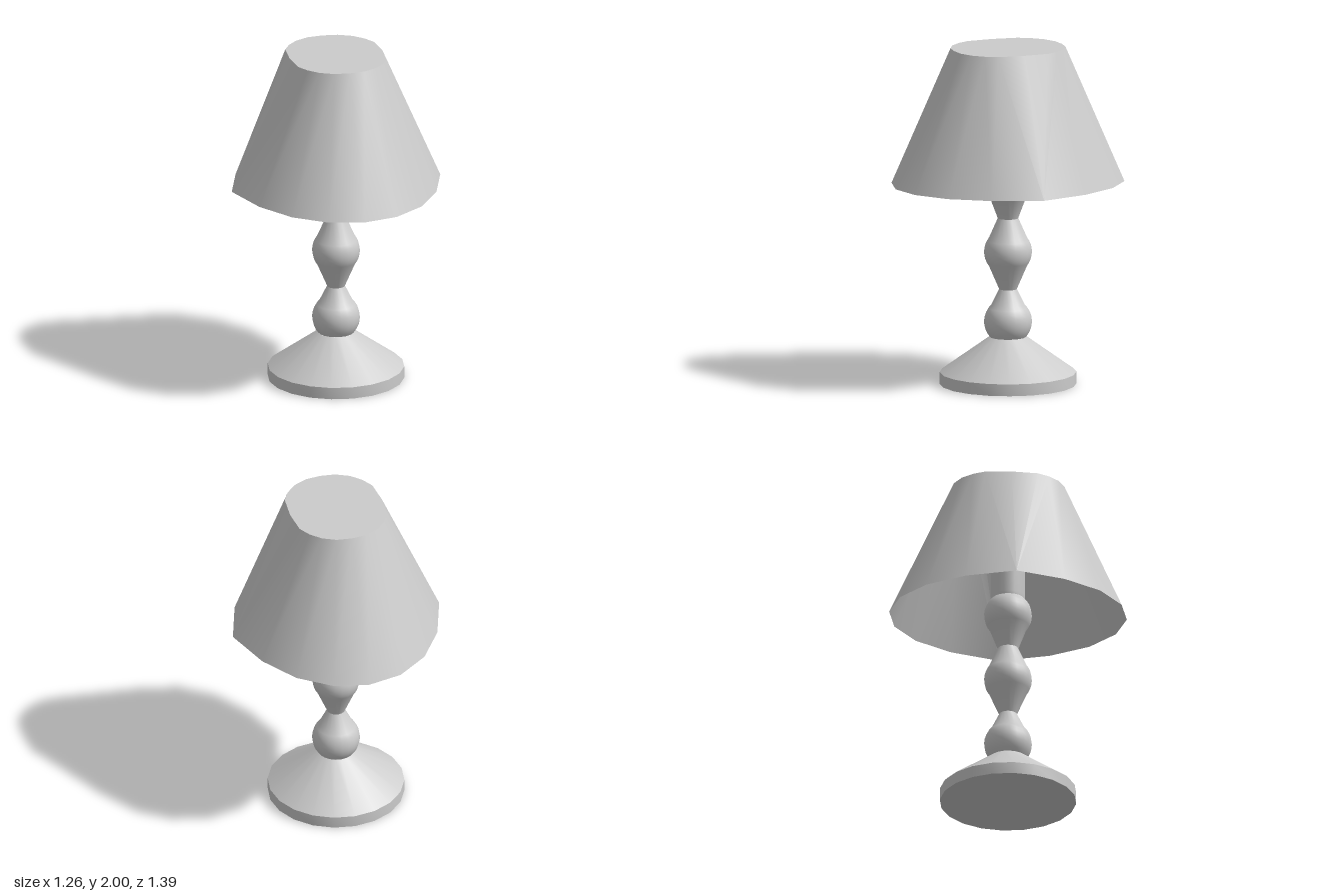
import * as THREE from 'three';
import { toCreasedNormals } from 'three/addons/utils/BufferGeometryUtils.js';

const material = new THREE.MeshStandardMaterial({ color: 0xcccccc });
const thin = new THREE.MeshStandardMaterial({ color: 0xcccccc, side: THREE.DoubleSide });

function turned(name, profile) {
  const points = profile.map(([r, y]) => new THREE.Vector2(r, y));
  const mesh = new THREE.Mesh(toCreasedNormals(new THREE.LatheGeometry(points, 20), 0.38), material);
  mesh.name = name;
  return mesh;
}

// profile of a ball, cut off below and above its centre
function ballArc(y, below, above, radius = 0.14, steps = 8) {
  const a = Math.asin(-below / radius), b = Math.asin(above / radius);
  return Array.from({ length: steps + 1 }, (_, i) => {
    const t = a + (b - a) * i / steps;
    return [radius * Math.cos(t), y + radius * Math.sin(t)];
  });
}

// mirror a quarter outline [x, z], running from front to side, into a full loop
function fullLoop(quarter) {
  const half = [...quarter, ...quarter.slice(0, -1).reverse().map(([x, z]) => [x, -z])];
  return [...half, ...half.slice(1, -1).reverse().map(([x, z]) => [-x, z])];
}

function surface(name, triangles, crease) {
  const geometry = new THREE.BufferGeometry();
  geometry.setAttribute('position', new THREE.Float32BufferAttribute(triangles.flat(), 3));
  geometry.computeVertexNormals();
  const mesh = new THREE.Mesh(toCreasedNormals(geometry, crease), thin);
  mesh.name = name;
  return mesh;
}

function createShade() {
  const shade = new THREE.Group();
  shade.name = 'shade';
  // the last two top corners share one bottom corner at the side
  const bottom = fullLoop([[0, 0.697], [0.205, 0.65], [0.39, 0.51], [0.533, 0.29], [0.628, 0], [0.628, 0]])
    .map(([x, z]) => [x, 1.2, z]);
  const top = fullLoop([[0, 0.335], [0.09, 0.325], [0.17, 0.285], [0.228, 0.225], [0.267, 0.155], [0.28, 0]])
    .map(([x, z]) => [x, 2, z]);
  const wall = [], cap = [];
  top.forEach((t, i) => {
    const j = (i + 1) % top.length;
    const b = bottom[i], b2 = bottom[j], t2 = top[j];
    if (b[0] !== b2[0] || b[2] !== b2[2]) wall.push(...b, ...b2, ...t2);
    wall.push(...b, ...t2, ...t);
    cap.push(0, 2, 0, ...t, ...t2);
  });
  shade.add(surface('shadeWall', wall, 0.5), surface('shadeTop', cap, 0.5));
  return shade;
}

export function createModel() {
  const lamp = new THREE.Group();
  lamp.name = 'tableLamp';

  // round foot with a sloping top
  lamp.add(turned('base', [[0, 0], [0.4, 0], [0.4, 0.07], [0.108, 0.28]]));

  // turned column: three balls joined by waisted necks, then a plain post
  lamp.add(turned('column', [
    ...ballArc(0.37, 0.09, 0.1),
    [0.052, 0.563],
    ...ballArc(0.785, 0.085, 0.085),
    [0.06, 0.985],
    ...ballArc(1.2, 0.09, 0.1),
    [0.1, 1.32],
    [0.1, 1.995],
  ]));

  lamp.add(createShade());
  return lamp;
}
